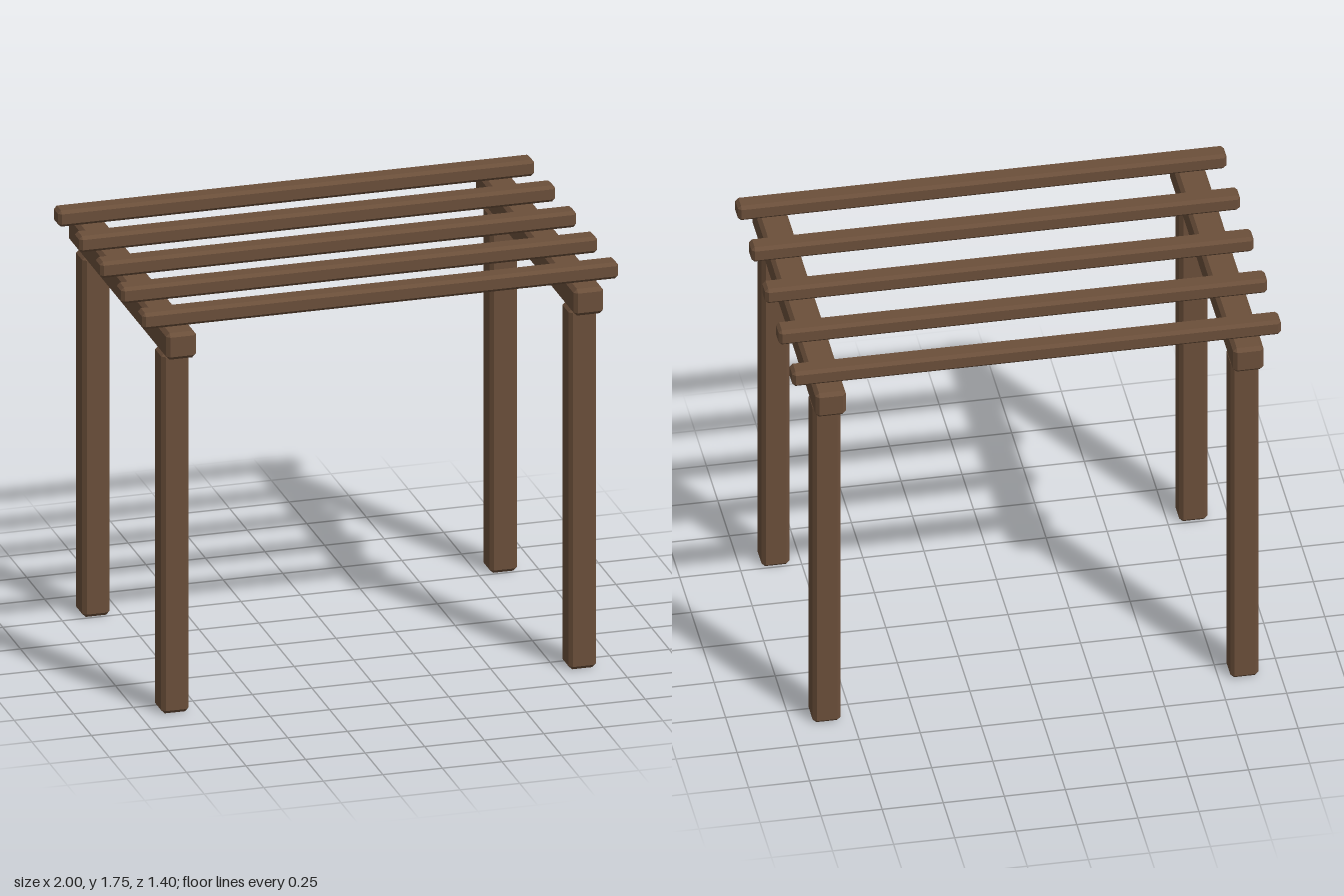
import * as THREE from 'three';
import { ConvexGeometry } from 'three/addons/geometries/ConvexGeometry.js';

const wood = new THREE.MeshStandardMaterial({ color: 0x6b4f3a });

// Box centred on the origin with every edge and corner chamfered by c
function chamferedBox(w, h, d, c) {
  const [x, y, z] = [w / 2, h / 2, d / 2];
  const points = [];
  for (const sx of [-1, 1]) for (const sy of [-1, 1]) for (const sz of [-1, 1]) {
    points.push(
      new THREE.Vector3(sx * x, sy * (y - c), sz * (z - c)),
      new THREE.Vector3(sx * (x - c), sy * y, sz * (z - c)),
      new THREE.Vector3(sx * (x - c), sy * (y - c), sz * z),
    );
  }
  return new ConvexGeometry(points);
}

export function createModel() {
  const group = new THREE.Group();
  group.name = 'pergola';

  const add = (name, geometry, x, y, z) => {
    const mesh = new THREE.Mesh(geometry, wood);
    mesh.name = name;
    mesh.position.set(x, y, z);
    group.add(mesh);
  };

  const post = chamferedBox(0.115, 1.558, 0.115, 0.015);
  const beam = chamferedBox(0.125, 0.115, 1.4, 0.015);
  const rafter = chamferedBox(2, 0.07, 0.083, 0.013);

  // Two posts and one long beam on each side
  for (const side of [-1, 1]) {
    const sideName = side > 0 ? 'left' : 'right';
    for (const end of [-1, 1]) {
      add(`${sideName}${end > 0 ? 'Front' : 'Back'}Post`, post, side * 0.855, 0.779, end * 0.557);
    }
    add(`${sideName}Beam`, beam, side * 0.855, 1.6175, 0);
  }

  // Five rafters laid across the beams
  for (let i = 0; i < 5; i++) {
    add(`rafter${i + 1}`, rafter, 0, 1.712, (i - 2) * 0.296);
  }

  return group;
}
